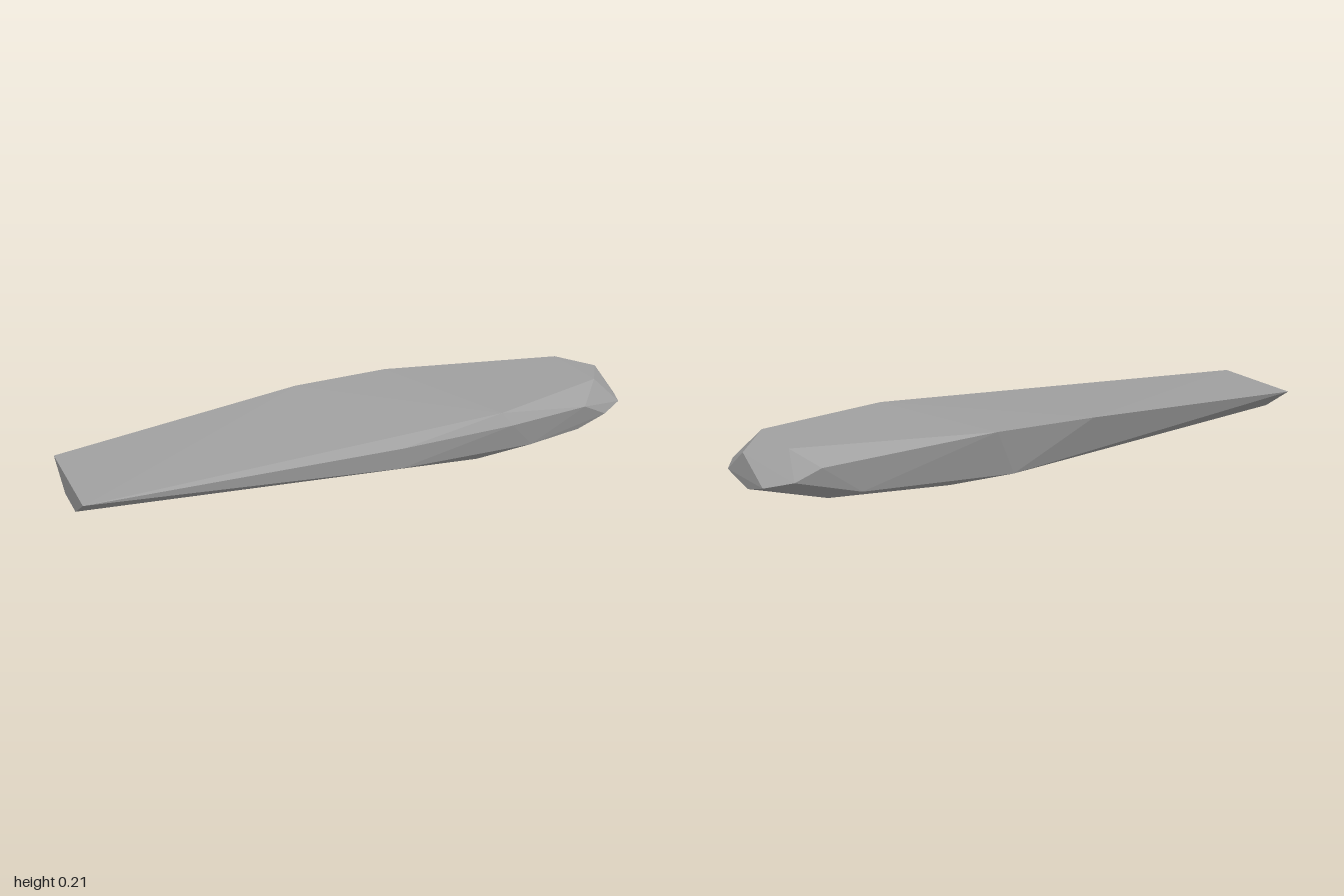
import * as THREE from 'three';
import { ConvexGeometry } from 'three/addons/geometries/ConvexGeometry.js';

// Faceted slab: a flat deck over a rounded belly, blunt at one end and nosed at the other.
export function createModel() {
  const group = new THREE.Group();
  const stoneGrey = new THREE.MeshStandardMaterial({ color: 0xa0a0a0 });
  stoneGrey.name = 'stoneGrey';

  // Corners as [x, y, z], grouped by region
  const bluntEnd = [[-1, 0.165, 0.19], [-1, 0.165, -0.18], [-1, 0.085, -0.06], [-1, 0.085, 0.07]];
  const deckRim = [
    [-0.12, 0.209, -0.272], [0.23, 0.209, -0.272], [0.42, 0.208, 0.235],
    [0.87, 0.205, 0.12], [0.86, 0.205, -0.12],
  ];
  const frontSide = [
    [0.03, 0.174, 0.272], [0.03, 0.095, 0.258], [0.45, 0.165, 0.258],
    [0.76, 0.163, 0.23], [0.55, 0.06, 0.225], [0.87, 0.103, 0.2], [0.76, 0.065, 0.2],
  ];
  const backSide = [
    [0.79, 0.16, -0.215], [0.87, 0.118, -0.192], [0.15, 0.046, -0.227], [0.66, 0.06, -0.202],
  ];
  const nose = [
    [0.975, 0.184, -0.025], [1, 0.108, 0.068], [0.96, 0.115, 0.153],
    [0.97, 0.068, -0.035], [0.95, 0.095, -0.13], [0.93, 0.05, 0.095],
  ];
  const belly = [
    [0.33, 0, -0.03], [0.3, 0.003, 0.05], [0.2, 0.01, 0.115], [0.35, 0.035, 0.2],
    [0.35, 0.02, -0.165], [0.83, 0.025, 0.02], [0.75, 0.035, -0.14], [0.74, 0.034, 0.15],
  ];

  const corners = [bluntEnd, deckRim, frontSide, backSide, nose, belly]
    .flatMap((region) => region.map((p) => new THREE.Vector3(...p)));

  // The hull keeps one flat normal per facet
  const body = new THREE.Mesh(new ConvexGeometry(corners), stoneGrey);
  body.name = 'facetedBody';
  group.add(body);
  return group;
}
